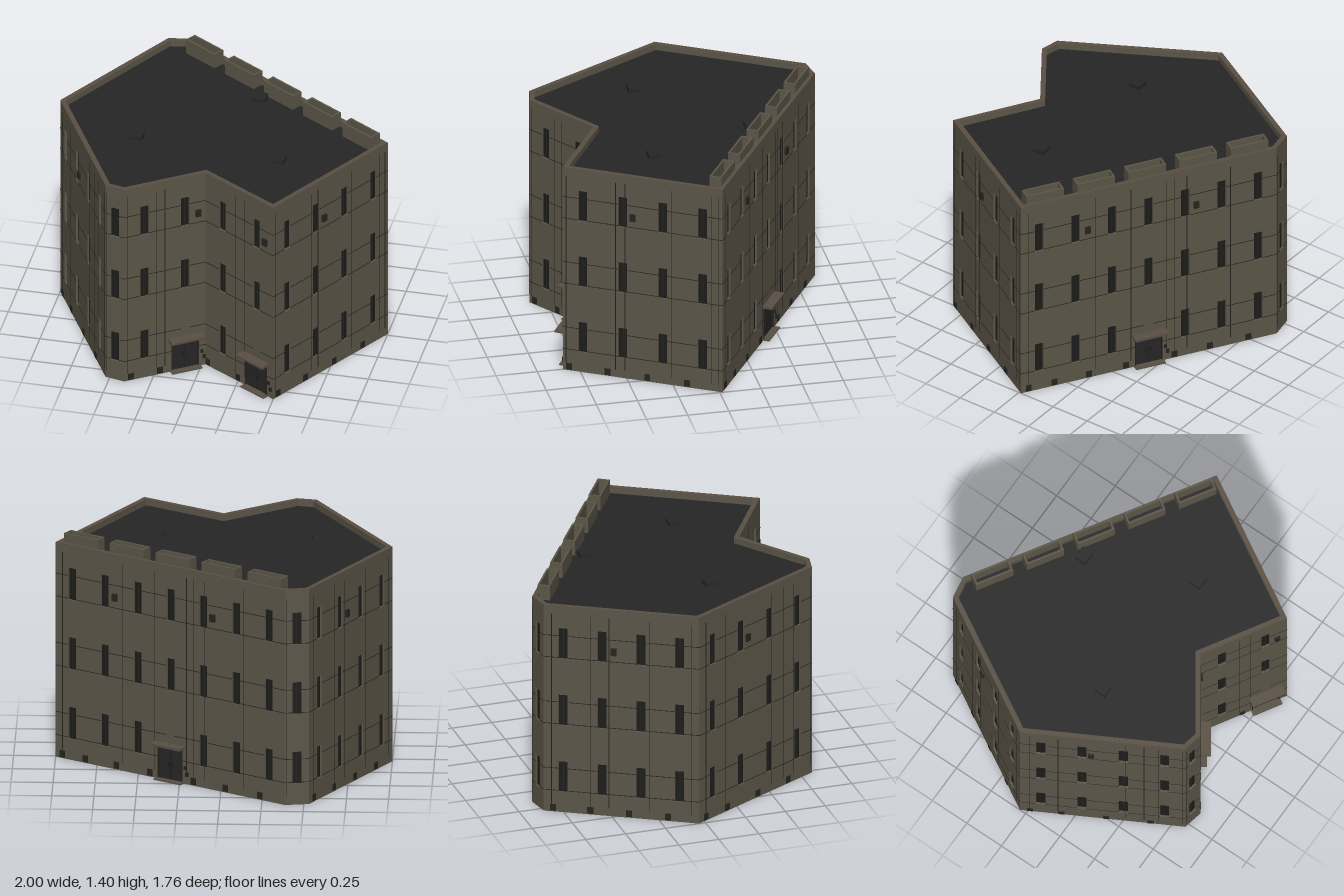
import * as THREE from 'three';

const mat = (name, color, side = THREE.FrontSide) => {
  const m = new THREE.MeshStandardMaterial({ color, side });
  m.name = name;
  return m;
};

const T = 0.03;        // wall thickness
const H = 1.34;        // wall height
const ROOF = 1.305;    // roof level
const WIN_W = 0.055, WIN_H = 0.2, DOOR_W = 0.17, DOOR_H = 0.21;
const ROWS = [0.13, 0.565, 1.0];
const BANDS = [0.14, 0.285, 0.575, 0.718, 1.008, 1.15];

// Footprint corners (x, z), listed left to right as seen from outside
const CORNERS = [
  [-1, -0.04], [-0.525, 0.825], [-0.405, 0.85], [0.02, 0.555],
  [0.5, 0.845], [1, -0.015], [-0.39, -0.88], [-0.53, -0.855],
];

// One entry per wall: window bays, door bay, and fractions along the wall
const WALLS = [
  { name: 'frontRightWall', bays: 4, vents: [0.43], low: [0.06, 0.25, 0.52, 0.79], seams: [0.06, 0.23, 0.64, 0.75, 0.84, 0.985] },
  { name: 'frontCornerWall', bays: 1, vents: [], low: [], seams: [0.06] },
  { name: 'entranceWallA', bays: 2, door: 1, vents: [0.91], low: [0.08, 0.44], seams: [0.04, 0.4, 0.5] },
  { name: 'entranceWallB', bays: 2, door: 1, vents: [0.885], low: [0.04, 0.48], seams: [0.45, 0.58] },
  { name: 'leftWall', bays: 4, vents: [0.44], low: [0.04, 0.28, 0.53, 0.78], seams: [0.02, 0.33, 0.39, 0.68, 0.93, 0.975] },
  { name: 'backWall', bays: 7, door: 3, vents: [0.26, 0.685], low: [0.03, 0.13, 0.265, 0.41, 0.6, 0.74, 0.89], seams: [0.03, 0.29, 0.43, 0.57, 0.6, 0.65, 0.82] },
  { name: 'backCornerWall', bays: 1, vents: [], low: [], seams: [0.06] },
  { name: 'backRightWall', bays: 4, vents: [0.45], low: [0.06, 0.3, 0.55, 0.8], seams: [0.05, 0.3, 0.42, 0.68, 0.95] },
];

function rectPath(PathType, x0, y0, x1, y1) {
  return new PathType([
    new THREE.Vector2(x0, y0), new THREE.Vector2(x1, y0),
    new THREE.Vector2(x1, y1), new THREE.Vector2(x0, y1),
  ]);
}

export function createModel() {
  const model = new THREE.Group();
  model.name = 'building';

  const concrete = mat('concrete', 0x5c5648);
  const trim = mat('trim', 0x5a4f44);
  const roofing = mat('roofing', 0x262626);
  const glass = mat('darkGlass', 0x1b1b1a);
  const doorMat = mat('doorMetal', 0x262626);
  const seamMat = mat('seam', 0x26241f);

  const box = (parent, name, m, w, h, d, x, y, z) => {
    const mesh = new THREE.Mesh(new THREE.BoxGeometry(w, h, d), m);
    mesh.name = name;
    mesh.position.set(x, y, z);
    parent.add(mesh);
    return mesh;
  };

  const n = CORNERS.length;
  const pts = CORNERS.map(([x, z]) => new THREE.Vector2(x, z));
  const dirs = pts.map((p, i) => pts[(i + 1) % n].clone().sub(p).normalize());
  // Mitre length at the start corner of each wall
  const mitre = dirs.map((d, i) => {
    const prev = dirs[(i + n - 1) % n];
    return T * Math.tan(-Math.atan2(prev.cross(d), prev.dot(d)) / 2);
  });

  WALLS.forEach((spec, i) => {
    const L = pts[i].distanceTo(pts[(i + 1) % n]);
    const wall = new THREE.Group();
    wall.name = spec.name;
    wall.position.set(pts[i].x, 0, pts[i].y);
    wall.rotation.y = Math.atan2(-dirs[i].y, dirs[i].x);
    model.add(wall);

    // Wall slab with openings
    const shape = rectPath(THREE.Shape, 0, 0, L, H);
    for (let b = 0; b < spec.bays; b++) {
      const x = L * (b + 0.5) / spec.bays;
      ROWS.forEach((y, row) => {
        if (row === 0 && b === spec.door) {
          shape.holes.push(rectPath(THREE.Path, x - DOOR_W / 2, 0.006, x + DOOR_W / 2, DOOR_H));
          addDoor(wall, x);
          return;
        }
        shape.holes.push(rectPath(THREE.Path, x - WIN_W / 2, y, x + WIN_W / 2, y + WIN_H));
        box(wall, 'windowPane', glass, WIN_W, WIN_H, 0.006, x, y + WIN_H / 2, -0.016);
        box(wall, 'windowMullion', seamMat, 0.005, WIN_H, 0.006, x, y + WIN_H / 2, -0.012);
      });
    }
    const geo = new THREE.ExtrudeGeometry(shape, { depth: T, bevelEnabled: false });
    geo.translate(0, 0, -T);
    // Mitre the inner edge at both ends
    const pos = geo.attributes.position;
    for (let k = 0; k < pos.count; k++) {
      if (pos.getZ(k) > -T / 2) continue;
      if (pos.getX(k) < 1e-5) pos.setX(k, mitre[i]);
      else if (pos.getX(k) > L - 1e-5) pos.setX(k, L - mitre[(i + 1) % n]);
    }
    geo.computeVertexNormals();
    const slab = new THREE.Mesh(geo, concrete);
    slab.name = 'wallSlab';
    wall.add(slab);

    // Horizontal seams run between the openings
    BANDS.forEach((y, k) => {
      let x0 = 0;
      for (let b = 0; b <= spec.bays; b++) {
        const c = L * (b + 0.5) / spec.bays;
        const half = (b === spec.door && k < 1 ? DOOR_W : WIN_W) / 2;
        const x1 = b === spec.bays ? L : c - half;
        box(wall, 'floorSeam', seamMat, x1 - x0, 0.004, 0.003, (x0 + x1) / 2, y, 0);
        x0 = c + half;
      }
    });
    spec.seams.forEach(t => box(wall, 'panelSeam', seamMat, 0.004, 1.24, 0.003, t * L, 0.67, 0));

    // Vents near the top and at ground level
    spec.vents.forEach(t => box(wall, 'airVent', seamMat, 0.034, 0.045, 0.02, t * L, 1.075, 0.004));
    spec.low.forEach(t => box(wall, 'basementVent', seamMat, 0.036, 0.042, 0.006, t * L, 0.027, 0.001));

    // Row of hollow battlements behind the back parapet
    if (spec.name === 'backWall') {
      for (let k = 0; k < 5; k++) addBattlement(wall, L * (k + 0.5) / 5);
    }
  });

  function addDoor(wall, x) {
    box(wall, 'door', doorMat, DOOR_W, DOOR_H - 0.006, 0.008, x, DOOR_H / 2 + 0.003, -0.01);
    box(wall, 'doorGap', glass, 0.004, DOOR_H - 0.01, 0.002, x, DOOR_H / 2 + 0.003, -0.006);
    for (const s of [-1, 1]) {
      box(wall, 'doorHandle', glass, 0.006, 0.03, 0.006, x + s * 0.014, 0.1, -0.004);
      box(wall, 'doorJamb', seamMat, 0.006, DOOR_H, 0.012, x + s * DOOR_W / 2, DOOR_H / 2, -0.002);
    }
    box(wall, 'doorCanopy', trim, 0.215, 0.014, 0.065, x, 0.226, 0.03);
    box(wall, 'doorStep', trim, 0.19, 0.008, 0.04, x, 0.004, 0.018);
    box(wall, 'doorbell', seamMat, 0.016, 0.022, 0.01, x + 0.105, 0.1, 0.003);
    box(wall, 'doorLockBox', seamMat, 0.018, 0.026, 0.01, x + 0.12, 0.062, 0.003);
  }

  function addBattlement(wall, x) {
    const w = 0.24, d = 0.075, t = 0.012;
    const frame = rectPath(THREE.Shape, -w / 2, -d / 2, w / 2, d / 2);
    frame.holes.push(rectPath(THREE.Path, -w / 2 + t, -d / 2 + t, w / 2 - t, d / 2 - t));
    const geo = new THREE.ExtrudeGeometry(frame, { depth: 1.4 - ROOF, bevelEnabled: false });
    const mesh = new THREE.Mesh(geo.rotateX(-Math.PI / 2), concrete);
    mesh.name = 'battlement';
    mesh.position.set(x, ROOF, -0.022 - d / 2);
    wall.add(mesh);
  }

  // Flat roof set just below the parapet
  const inset = pts.map((p, i) => new THREE.Vector2(
    p.x + dirs[i].x * mitre[i] + dirs[i].y * T,
    -(p.y + dirs[i].y * mitre[i] - dirs[i].x * T)));
  const roofGeo = new THREE.ExtrudeGeometry(new THREE.Shape(inset), { depth: 0.01, bevelEnabled: false });
  const roof = new THREE.Mesh(roofGeo.rotateX(-Math.PI / 2), roofing);
  roof.name = 'roof';
  roof.position.y = ROOF - 0.01;
  model.add(roof);

  // Brown coping on top of the parapet
  const rim = new THREE.Shape(pts.map(p => new THREE.Vector2(p.x, -p.y)));
  rim.holes.push(new THREE.Path(inset));
  const rimGeo = new THREE.ExtrudeGeometry(rim, { depth: 0.003, bevelEnabled: false });
  const coping = new THREE.Mesh(rimGeo.rotateX(-Math.PI / 2), trim);
  coping.name = 'parapetCoping';
  coping.position.y = H;
  model.add(coping);

  // Roof hatches
  [[0.14, -0.375], [-0.48, 0.2], [0.4, 0.27]].forEach(([x, z]) =>
    box(model, 'roofHatch', roofing, 0.08, 0.025, 0.075, x, ROOF + 0.0125, z));

  return model;
}
